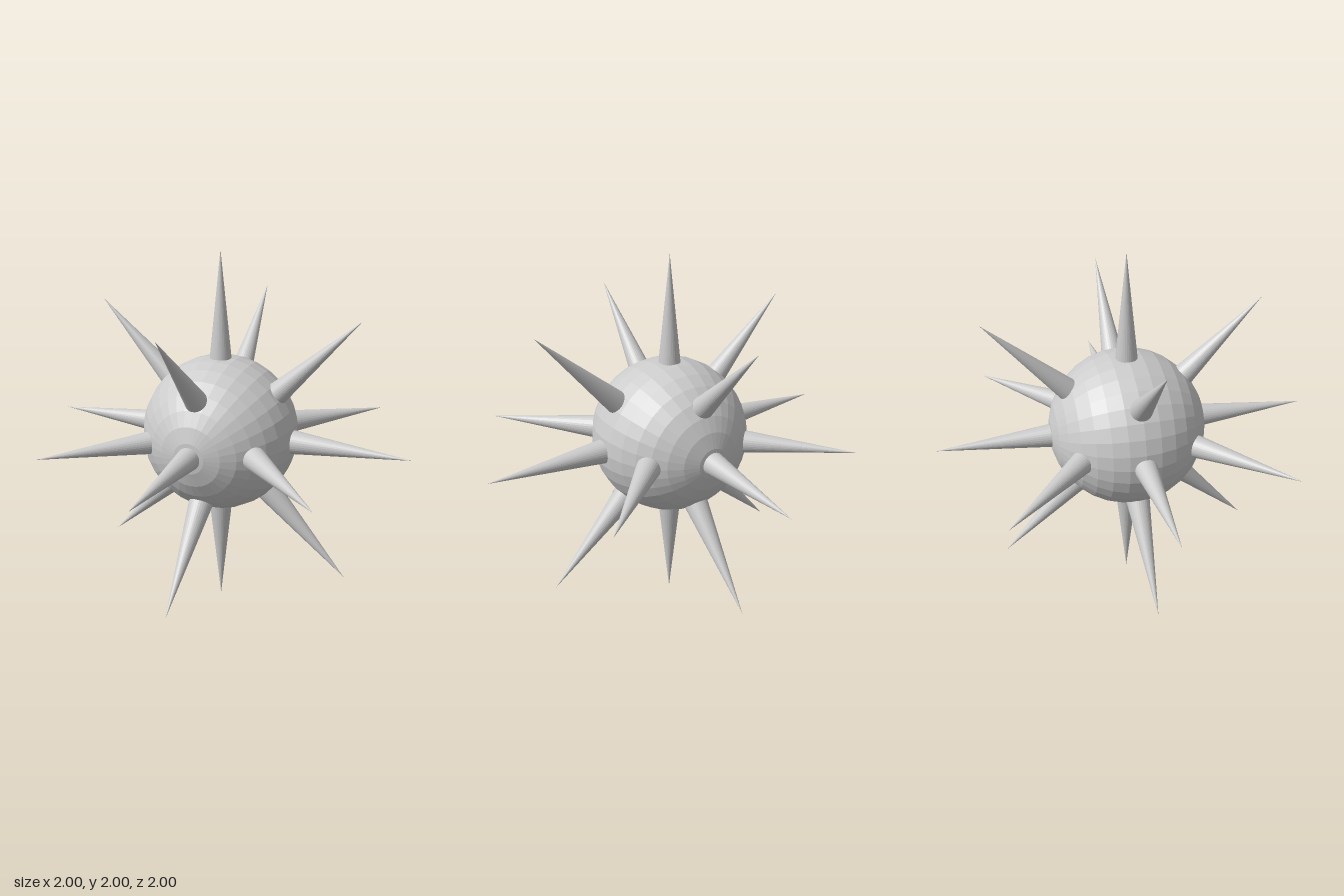
import * as THREE from 'three';

export function createModel() {
  const model = new THREE.Group();
  model.name = 'spikedBall';
  const material = new THREE.MeshStandardMaterial({ color: 0xcccccc, flatShading: true });
  const center = new THREE.Vector3(-0.02, 1.04, 0);

  // Faceted ball with its poles on the z axis
  const ballGeometry = new THREE.SphereGeometry(0.417, 32, 16).rotateX(Math.PI / 2);
  const ball = new THREE.Mesh(ballGeometry, material);
  ball.name = 'ball';
  ball.position.copy(center);
  model.add(ball);

  // Spike cone, tip at the origin and pointing along +y
  const length = 0.7;
  const spikeGeometry = new THREE.ConeGeometry(length * 0.103, length, 32).translate(0, -length / 2, 0);
  const up = new THREE.Vector3(0, 1, 0);

  function addSpike(x, y, z) {
    const direction = new THREE.Vector3(x, y, z).normalize();
    const spike = new THREE.Mesh(spikeGeometry, material);
    spike.name = 'spike';
    spike.quaternion.setFromUnitVectors(up, direction);
    // Tips reach a unit sphere about (0, 1, 0); unused axes follow the ball's centre
    spike.position.set(
      x ? direction.x : center.x,
      y ? 1 + direction.y : center.y,
      z ? direction.z : center.z
    );
    model.add(spike);
  }

  // Six spikes along the axes and twelve on the diagonals between them
  for (let x = -1; x <= 1; x++)
    for (let y = -1; y <= 1; y++)
      for (let z = -1; z <= 1; z++) {
        const used = Math.abs(x) + Math.abs(y) + Math.abs(z);
        if (used === 1 || used === 2) addSpike(x, y, z);
      }

  return model;
}
